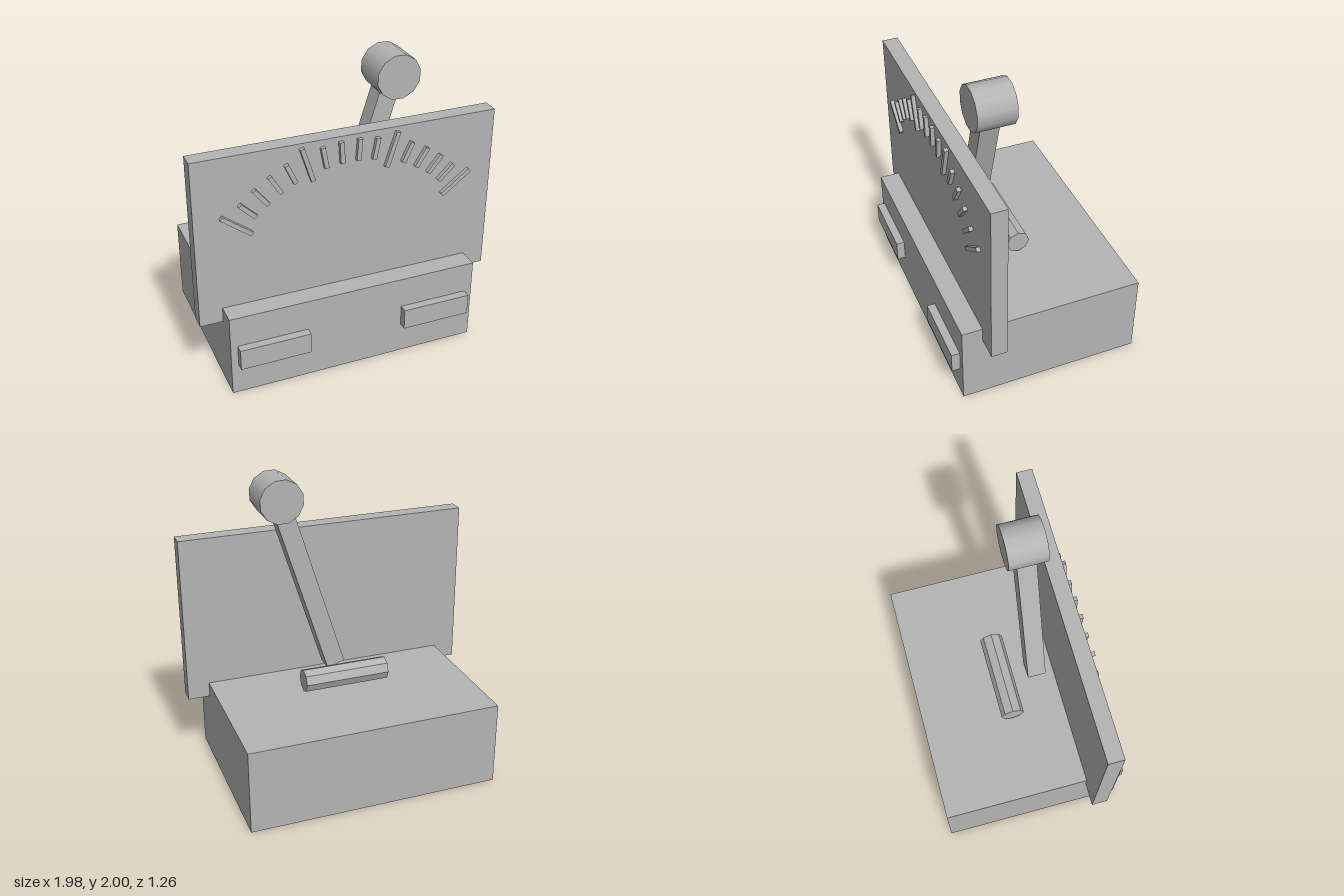
import * as THREE from 'three';

export function createModel() {
  const model = new THREE.Group();
  model.name = 'dialMeter';

  const grey = new THREE.MeshStandardMaterial({ color: 0xb4b4b4 });
  grey.name = 'grey';
  const greyFaceted = new THREE.MeshStandardMaterial({ color: 0xb4b4b4, flatShading: true });
  greyFaceted.name = 'grey faceted';

  const add = (name, geometry, x, y, z, parent = model, material = grey) => {
    const mesh = new THREE.Mesh(geometry, material);
    mesh.name = name;
    mesh.position.set(x, y, z);
    parent.add(mesh);
    return mesh;
  };

  // Block base and upright dial panel
  add('base', new THREE.BoxGeometry(1.68, 0.565, 1.21), 0, 0.2825, -0.025);
  add('dialPanel', new THREE.BoxGeometry(1.975, 1.13, 0.105), -0.002, 1.03, 0.3925);

  // Two raised plates on the front of the base
  for (const side of [-1, 1]) {
    add(side < 0 ? 'rightFrontPlate' : 'leftFrontPlate',
      new THREE.BoxGeometry(0.467, 0.142, 0.06), side * 0.559 - 0.002, 0.284, 0.605);
  }

  // Scale marks fanned along an arc, every fifth one long
  const scale = new THREE.Group();
  scale.name = 'dialScale';
  scale.position.set(0, 0.577, 0);
  model.add(scale);
  const radius = 0.92;
  for (let i = 0; i < 16; i++) {
    const angle = THREE.MathUtils.degToRad((i - 7.5) * 7);
    const length = i % 5 === 0 ? 0.235 : 0.14;
    const mark = add('scaleMark', new THREE.BoxGeometry(0.028, length, 0.03),
      radius * Math.sin(angle), radius * Math.cos(angle), 0.456, scale);
    mark.rotation.z = -angle;
  }

  // Leaning arm with a round weight at its top
  const arm = new THREE.Group();
  arm.name = 'swingArm';
  arm.position.set(-0.005, 0.653, 0.2075);
  arm.rotation.z = THREE.MathUtils.degToRad(-17.2);
  model.add(arm);
  const armLength = 1.263;
  add('armRod', new THREE.BoxGeometry(0.125, armLength, 0.125), 0, armLength / 2, 0, arm);
  const weight = add('armWeight', new THREE.CylinderGeometry(0.145, 0.145, 0.25, 12), 0, armLength, 0, arm);
  weight.rotation.x = Math.PI / 2;

  // Eight-sided pivot bar lying across the base
  const pivot = add('pivotBar', new THREE.CylinderGeometry(0.077, 0.077, 0.575, 8),
    -0.002, 0.659, -0.026, model, greyFaceted);
  pivot.rotation.z = Math.PI / 2;

  return model;
}
